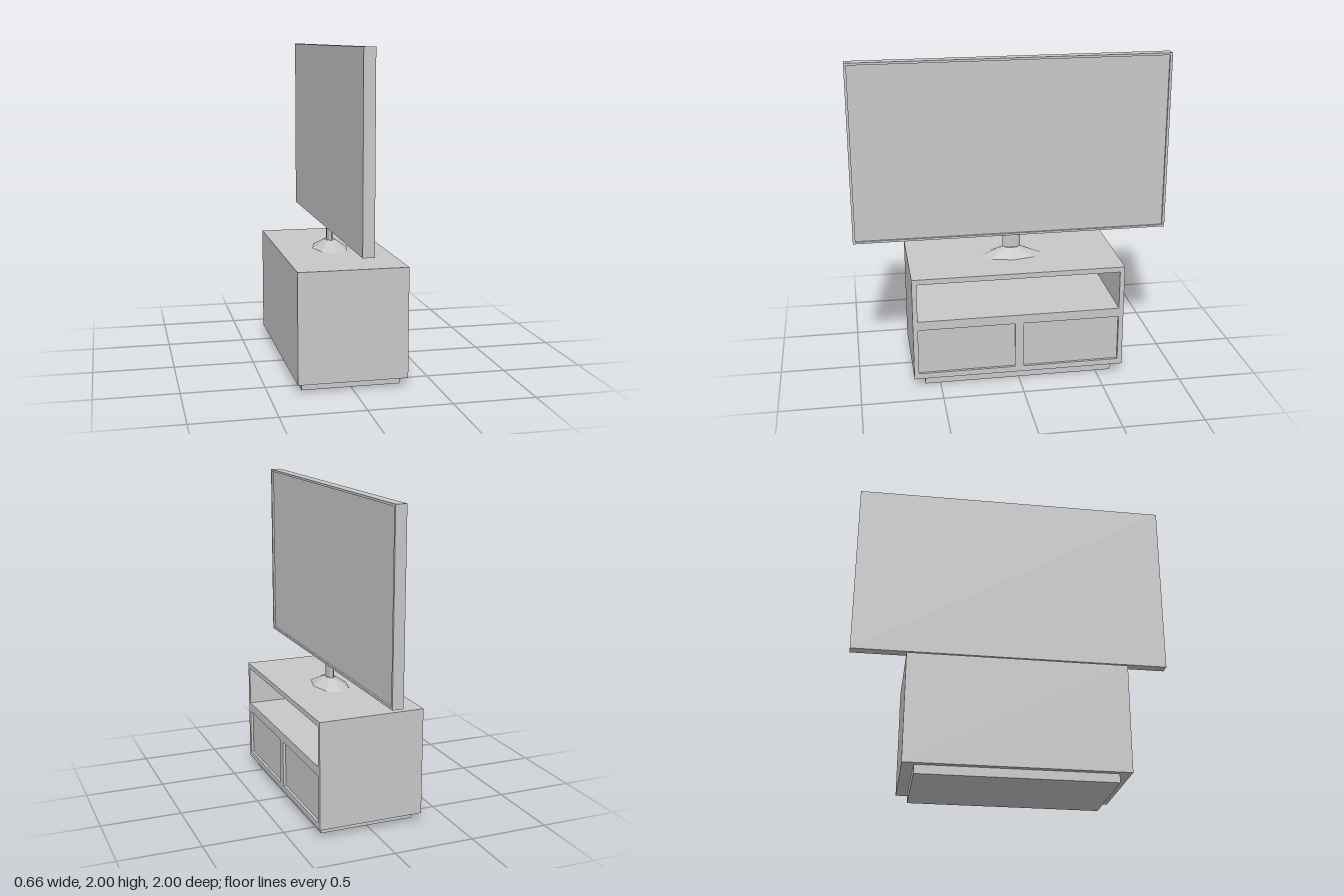
import * as THREE from 'three';

const grey = new THREE.MeshStandardMaterial({ color: 0xc8c8c8 });
grey.name = 'plainGrey';

function add(parent, name, geometry, x = 0, y = 0, z = 0) {
  const mesh = new THREE.Mesh(geometry, grey);
  mesh.name = name;
  mesh.position.set(x, y, z);
  parent.add(mesh);
  return mesh;
}

// Box given by its limits on each axis
function block(parent, name, [x0, x1], [y0, y1], [z0, z1]) {
  return add(parent, name, new THREE.BoxGeometry(x1 - x0, y1 - y0, z1 - z0),
    (x0 + x1) / 2, (y0 + y1) / 2, (z0 + z1) / 2);
}

function rectangle(Type, [z0, z1], [y0, y1]) {
  return new Type([[z0, y0], [z1, y0], [z1, y1], [z0, y1]].map(([a, b]) => new THREE.Vector2(a, b)));
}

// Rectangular frame in the z-y plane with openings, extruded along x
function frame(parent, name, [x0, x1], zRange, yRange, openings) {
  const shape = rectangle(THREE.Shape, zRange, yRange);
  shape.holes = openings.map(([z, y]) => rectangle(THREE.Path, z, y));
  const geometry = new THREE.ExtrudeGeometry(shape, { depth: x1 - x0, bevelEnabled: false });
  geometry.rotateY(Math.PI / 2);
  return add(parent, name, geometry, x0);
}

// Eight-sided flat-shaded solid, stretched to an oval along z
function oval(parent, name, topRadius, bottomRadius, y0, y1, xScale) {
  let geometry = new THREE.CylinderGeometry(topRadius, bottomRadius, y1 - y0, 8);
  geometry.scale(xScale, 1, 1);
  geometry = geometry.toNonIndexed();
  geometry.computeVertexNormals();
  return add(parent, name, geometry, 0, (y0 + y1) / 2, 0);
}

export function createModel() {
  const model = new THREE.Group();
  model.name = 'televisionOnCabinet';

  // Cabinet with an open shelf above two inset doors, facing +x
  const cabinet = new THREE.Group();
  cabinet.name = 'cabinet';
  model.add(cabinet);
  const doorY = [0.09, 0.387];
  const doors = [[-0.635, -0.028], [0.028, 0.635]];
  block(cabinet, 'plinth', [-0.298, 0.298], [0, 0.054], [-0.595, 0.595]);
  frame(cabinet, 'cabinetBody', [-0.3, 0.332], [-0.665, 0.665], [0.054, 0.725], [
    [[-0.635, 0.635], [0.445, 0.692]],
    ...doors.map((z) => [z, doorY]),
  ]);
  block(cabinet, 'cabinetBack', [-0.332, -0.3], [0.054, 0.725], [-0.665, 0.665]);
  doors.forEach((z, i) => block(cabinet, i ? 'leftDoor' : 'rightDoor', [0.295, 0.315], doorY, z));

  // Stand: sloping foot and short neck
  const stand = new THREE.Group();
  stand.name = 'stand';
  model.add(stand);
  oval(stand, 'standFoot', 0.056, 0.19, 0.726, 0.78, 0.58);
  oval(stand, 'standNeck', 0.056, 0.056, 0.775, 0.87, 0.36);

  // Television: raised bezel around a sunken screen
  const television = new THREE.Group();
  television.name = 'television';
  model.add(television);
  const inner = { z: [-0.984, 0.984], y: [0.878, 1.986] };
  frame(television, 'bezel', [0.02, 0.034], [-1, 1], [0.865, 2], [[inner.z, inner.y]]);
  block(television, 'televisionBack', [-0.034, 0.02], [0.865, 2], [-1, 1]);
  block(television, 'screen', [0.016, 0.022], inner.y, inner.z);

  return model;
}
